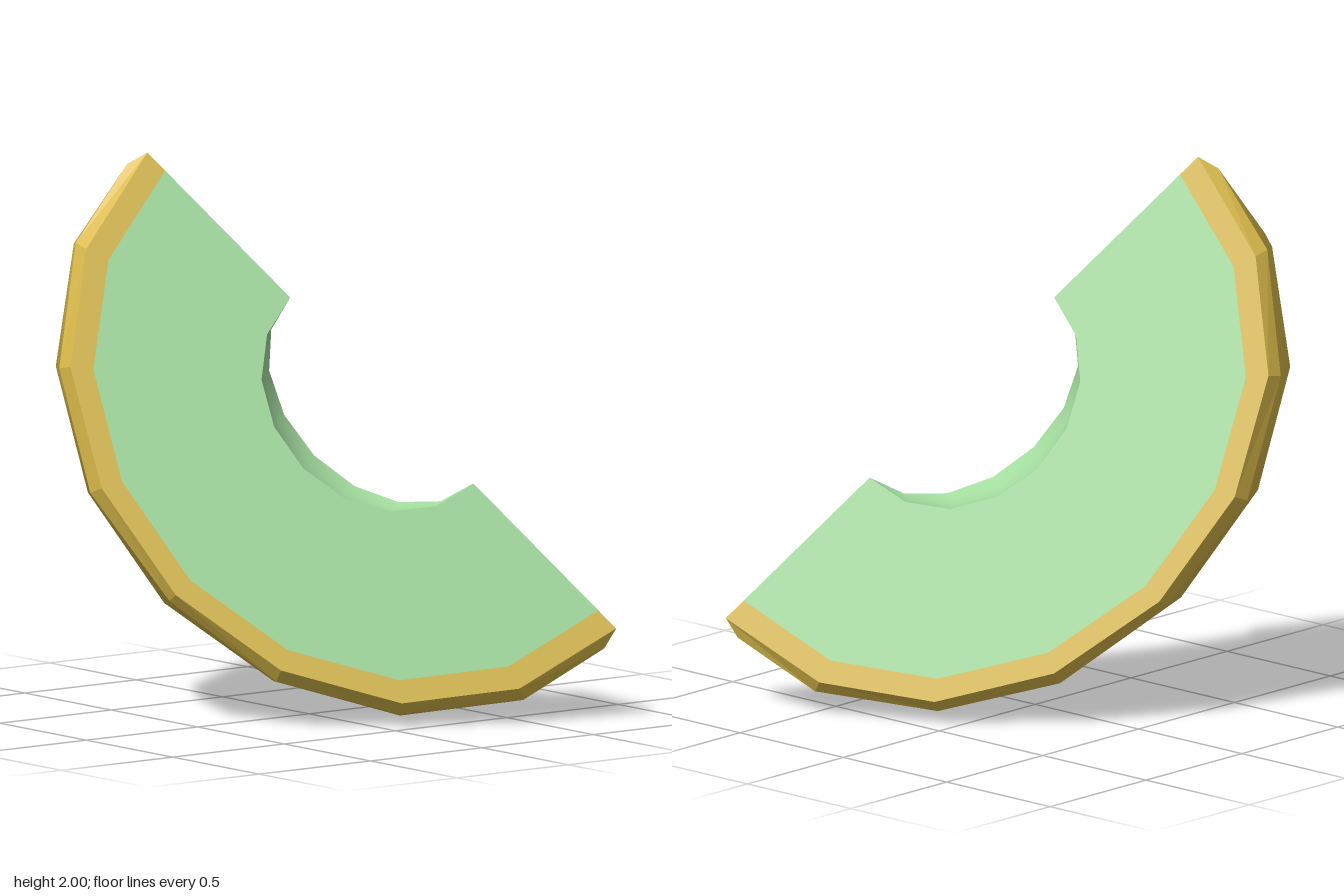
import * as THREE from 'three';

const SEG = 8;            // steps from tip to tip
const HALF = Math.PI / 8; // half of the wedge angle

// One meridian of a stretched sphere: local x runs tip to tip, y points to the rind
function meridian(halfLength, radius, angle) {
  return Array.from({ length: SEG + 1 }, (_, i) => {
    const t = (i / SEG) * Math.PI;
    const r = i % SEG ? radius * Math.sin(t) : 0;
    return new THREE.Vector3(halfLength * Math.cos(t), r * Math.cos(angle), r * Math.sin(angle));
  });
}

// Full line from tip to tip out of its first half (tip to middle), side = +1 / -1
function mirroredLine(half, side) {
  const back = half.slice(0, -1).reverse().map(([x, y, z]) => [-x, y, z]);
  return [...half, ...back].map(([x, y, z]) => new THREE.Vector3(x, y, z * side));
}

// Surface stretched across neighbouring lines, leaving out collapsed triangles
function skin(name, lines, material, smooth = false) {
  const points = lines.flat();
  const n = SEG + 1;
  const index = [];
  const tri = (a, b, c) => {
    if (new THREE.Triangle(points[a], points[b], points[c]).getArea() > 1e-6) index.push(a, b, c);
  };
  for (let j = 0; j < lines.length - 1; j++) {
    for (let i = 0; i < SEG; i++) {
      const a = j * n + i;
      tri(a, a + 1, a + n);
      tri(a + 1, a + n + 1, a + n);
    }
  }
  let geometry = new THREE.BufferGeometry().setFromPoints(points);
  geometry.setIndex(index);
  if (!smooth) geometry = geometry.toNonIndexed();
  geometry.computeVertexNormals();
  const mesh = new THREE.Mesh(geometry, material);
  mesh.name = name;
  return mesh;
}

export function createModel() {
  const flesh = new THREE.MeshStandardMaterial({ color: 0xa5dea0 });
  flesh.name = 'pale green flesh';
  const rind = new THREE.MeshStandardMaterial({ color: 0xdbbb4b });
  rind.name = 'golden rind';

  const wedge = new THREE.Group();
  wedge.name = 'melonWedge';

  // Lines on the cut faces: rind edge, flesh edge and seed hollow
  const edge = (side) => meridian(1.185, 1.05, HALF * side);
  const inner = (side) => meridian(1.095, 0.975, HALF * side);
  const hollow = (side) => meridian(0.463, 0.4, HALF * side);

  // Lines on the outside: bevel edge and the ridge down the middle
  const bevel = (side) => mirroredLine([
    [1.206, 0.081, 0], [1.135, 0.392, 0.113], [0.861, 0.727, 0.24],
    [0.47, 0.945, 0.332], [0, 1.008, 0.368],
  ], side);
  const ridge = mirroredLine([
    [1.206, 0.081, 0], [1.136, 0.421, 0], [0.87, 0.778, 0],
    [0.47, 1.016, 0], [0, 1.1, 0],
  ], 1);

  // Cut faces with their rind border and bevel, on both sides
  for (const side of [1, -1]) {
    const label = side > 0 ? 'right' : 'left';
    const ordered = (lines) => (side > 0 ? lines : lines.reverse());
    wedge.add(
      skin(label + 'CutFlesh', ordered([inner(side), hollow(side)]), flesh),
      skin(label + 'RindBorder', ordered([edge(side), inner(side)]), rind),
      skin(label + 'RindBevel', ordered([bevel(side), edge(side)]), rind),
    );
  }

  // Seed hollow and outer rind
  wedge.add(
    skin('seedHollow', [1, 0.5, 0, -0.5, -1].map(hollow), flesh, true),
    skin('outerRind', [bevel(-1), ridge, bevel(1)], rind, true),
  );

  // Tilt the wedge so that it rests on its rind, turned half sideways
  const h = Math.SQRT1_2;
  const basis = new THREE.Matrix4().makeBasis(
    new THREE.Vector3(0.5, -h, -0.5),
    new THREE.Vector3(-0.5, -h, 0.5),
    new THREE.Vector3(-h, 0, -h),
  );
  wedge.quaternion.setFromRotationMatrix(basis);
  wedge.position.set(0.184, 1.165, -0.184);

  const model = new THREE.Group();
  model.name = 'melonSlice';
  model.add(wedge);
  return model;
}
